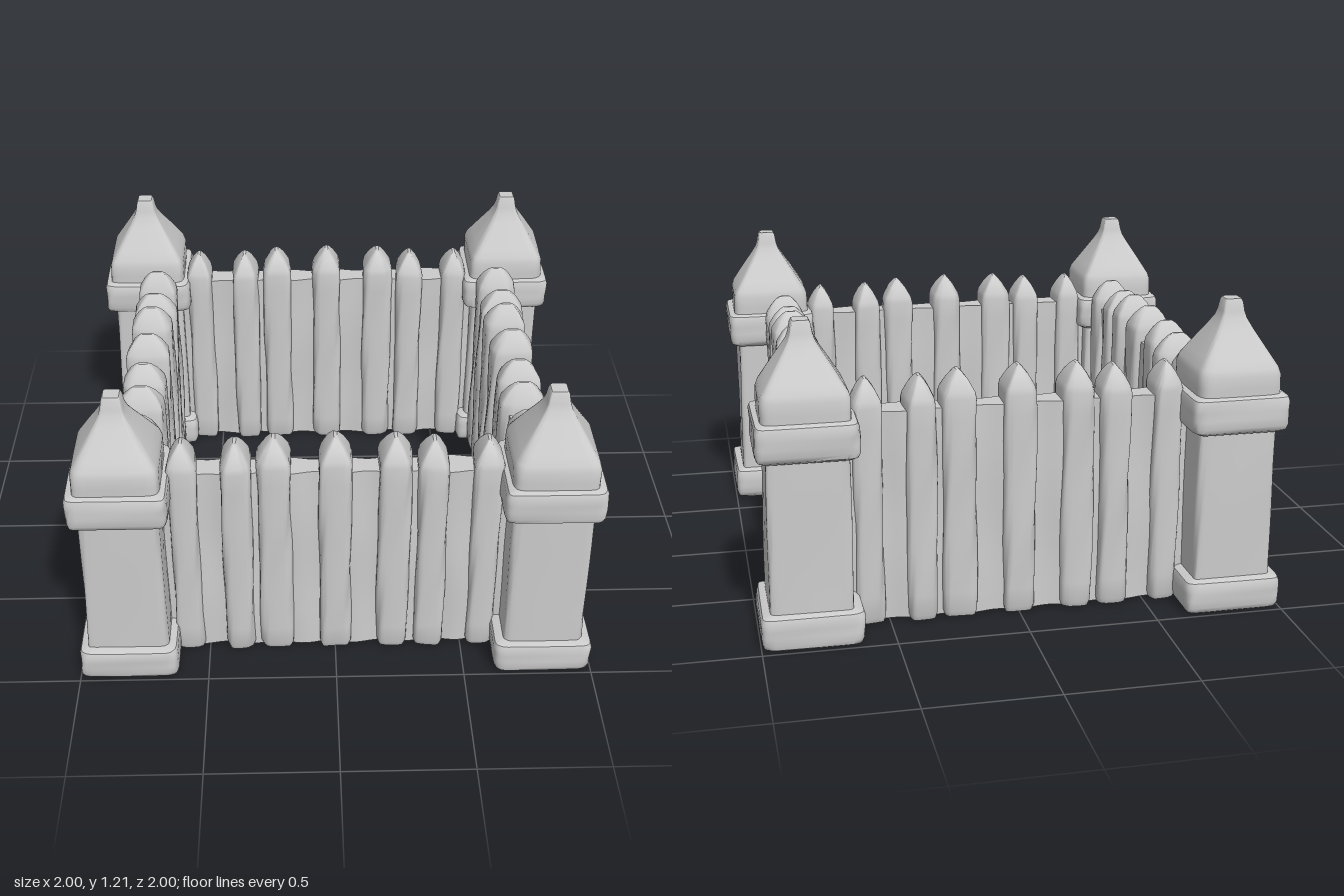
import * as THREE from 'three';
import { toCreasedNormals } from 'three/addons/utils/BufferGeometryUtils.js';

const material = new THREE.MeshStandardMaterial({ color: 0xcccccc });
const SIDES = 32;

// Rounded-square loft through rings [y, halfX, halfZ], subdivided and gently hewn
function loft(rings, { power = 7, wobble = 0, seed = 0, step = 0.08, freq = 9 } = {}) {
  const rows = [];
  rings.forEach((r, i) => {
    if (i) {
      const p = rings[i - 1];
      const n = Math.max(1, Math.round((r[0] - p[0]) / step));
      for (let k = 1; k < n; k++) rows.push(r.map((v, a) => p[a] + (v - p[a]) * k / n));
    }
    rows.push(r);
  });
  const pos = [], idx = [];
  const bend = (c) => Math.sign(c) * Math.pow(Math.abs(c), 2 / power);
  for (const [y, hx, hz] of rows) {
    for (let i = 0; i < SIDES; i++) {
      const t = i / SIDES * Math.PI * 2;
      const w = Math.sin(y * freq + seed * 2.3 + 3 * t) * 0.6 + Math.sin(y * freq * 2.1 - seed + 5 * t) * 0.4;
      const k = 1 + wobble * (w - 0.4);
      pos.push(bend(Math.cos(t)) * hx * k, y, bend(Math.sin(t)) * hz * k);
    }
  }
  const last = rows.length - 1;
  for (let j = 0; j < last; j++) {
    for (let i = 0; i < SIDES; i++) {
      const a = j * SIDES + i, b = j * SIDES + (i + 1) % SIDES;
      idx.push(a, a + SIDES, b, b, a + SIDES, b + SIDES);
    }
  }
  // end caps
  const c = pos.length / 3, top = last * SIDES;
  pos.push(0, rows[0][0], 0, 0, rows[last][0], 0);
  for (let i = 0; i < SIDES; i++) {
    const n = (i + 1) % SIDES;
    idx.push(c, i, n, c + 1, top + n, top + i);
  }
  const g = new THREE.BufferGeometry();
  g.setAttribute('position', new THREE.Float32BufferAttribute(pos, 3));
  g.setIndex(idx);
  return toCreasedNormals(g, Math.PI / 4.5);
}

function part(name, geometry, parent) {
  const mesh = new THREE.Mesh(geometry, material);
  mesh.name = name;
  parent.add(mesh);
  return mesh;
}

const square = (rings) => rings.map(([y, h]) => [y, h, h]);

// Stone band with softened edges, used for tower base and collar
const band = (y0, y1, h, seed) => loft(square([
  [y0, h - 0.025], [y0 + 0.012, h - 0.006], [y0 + 0.03, h], [y1 - 0.025, h],
  [y1 - 0.008, h - 0.006], [y1, h - 0.025],
]), { power: 12, wobble: 0.015, seed, step: 0.03, freq: 25 });

function makeTower(seed) {
  const tower = new THREE.Group();
  tower.name = 'cornerTower';
  part('towerBase', band(0, 0.138, 0.192, seed), tower);
  part('towerShaft', loft(square([[0.12, 0.157], [0.4, 0.155], [0.73, 0.152]]),
    { power: 14, wobble: 0.02, seed, freq: 5 }), tower);
  part('towerCollar', band(0.72, 0.866, 0.19, seed + 4), tower);
  part('towerRoof', loft(square([
    [0.85, 0.164], [0.94, 0.163], [0.965, 0.155], [1.0, 0.133], [1.05, 0.102],
    [1.1, 0.07], [1.135, 0.05], [1.16, 0.042], [1.195, 0.036], [1.207, 0.03],
  ]), { power: 9, wobble: 0.015, seed, step: 0.04 }), tower);
  return tower;
}

// Sharpened stake standing on the wall line
function makeStake(width, depth, height, seed) {
  const h = width / 2, d = depth / 2;
  return loft([
    [0.008, h * 0.9, d * 0.9], [0.03, h, d], [height - 0.1, h, d],
    [height - 0.075, h * 0.9, d * 0.95], [height - 0.035, h * 0.55, d * 0.68],
    [height - 0.01, h * 0.25, d * 0.42], [height, h * 0.1, d * 0.25],
  ], { power: 4.5, wobble: 0.06, seed, freq: 7 });
}

// Stakes along one wall: [offset, width, depth, height]
const STAKES = [
  [-0.575, 0.115, 0.17, 0.96], [-0.375, 0.12, 0.185, 0.96], [-0.23, 0.135, 0.175, 0.975],
  [0, 0.13, 0.18, 0.98], [0.225, 0.13, 0.175, 0.975], [0.37, 0.12, 0.185, 0.96],
  [0.575, 0.115, 0.17, 0.96],
];

function makeWall(side) {
  const wall = new THREE.Group();
  wall.name = 'palisadeWall';
  // plank panel behind the stakes
  const panel = new THREE.BoxGeometry(1.36, 0.83, 0.1, 60, 10, 1);
  const p = panel.attributes.position;
  for (let i = 0; i < p.count; i++) {
    const x = p.getX(i), y = p.getY(i);
    p.setZ(i, p.getZ(i) * (1 + 0.14 * Math.sin(x * 31 + y * 2 + side) + 0.06 * Math.sin(y * 11 + x * 5)));
  }
  const mesh = part('wallPanel', toCreasedNormals(panel, Math.PI / 5), wall);
  mesh.position.y = 0.425;
  STAKES.forEach(([x, w, d, h], i) => {
    part('stake', makeStake(w, d, h, side * 7 + i), wall).position.x = x;
  });
  return wall;
}

export function createModel() {
  const model = new THREE.Group();
  model.name = 'palisadeFort';
  for (let i = 0; i < 4; i++) {
    const angle = i * Math.PI / 2;
    const wall = makeWall(i);
    wall.rotation.y = angle;
    wall.position.set(Math.sin(angle) * 0.752, 0, Math.cos(angle) * 0.752);
    model.add(wall);

    const tower = makeTower(i);
    tower.position.set(i % 2 ? 0.807 : -0.807, 0, i < 2 ? 0.807 : -0.807);
    model.add(tower);
  }
  return model;
}
